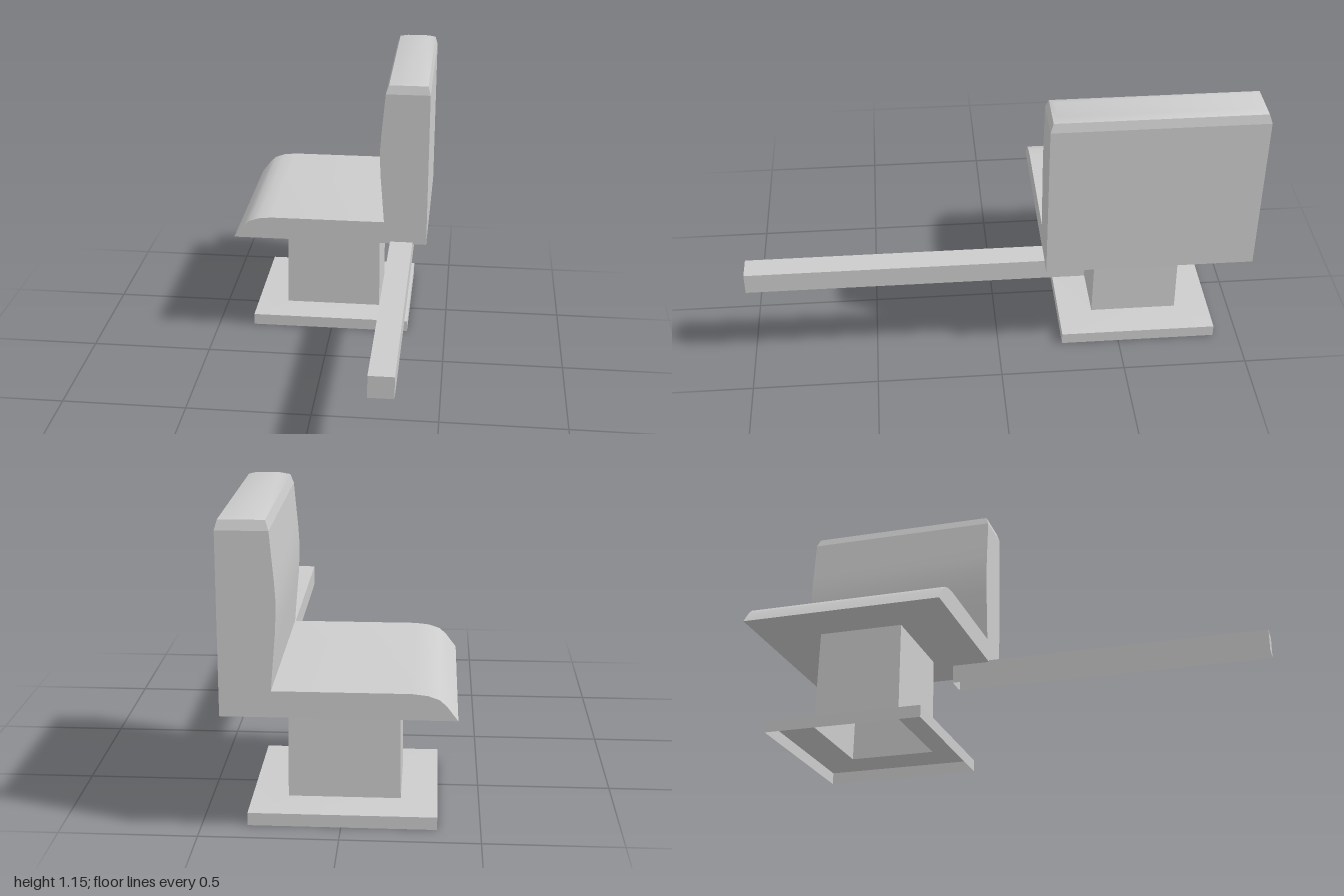
import * as THREE from 'three';
import { toCreasedNormals } from 'three/addons/utils/BufferGeometryUtils.js';

const material = new THREE.MeshStandardMaterial({ color: 0xcccccc, side: THREE.DoubleSide });

function part(name, geometry) {
  const mesh = new THREE.Mesh(toCreasedNormals(geometry, 0.6), material);
  mesh.name = name;
  return mesh;
}

// Shell through rectangular rings [y, x0, x1, z0, z1], listed bottom to top
function rectLoft(rings, capTop) {
  const positions = [];
  const index = [];
  for (const [y, x0, x1, z0, z1] of rings) {
    positions.push(x0, y, z1, x1, y, z1, x1, y, z0, x0, y, z0);
  }
  for (let r = 0; r < rings.length - 1; r++) {
    for (let i = 0; i < 4; i++) {
      const a = r * 4 + i;
      const b = r * 4 + (i + 1) % 4;
      index.push(a, b, b + 4, a, b + 4, a + 4);
    }
  }
  if (capTop) {
    const t = (rings.length - 1) * 4;
    index.push(t, t + 1, t + 2, t, t + 2, t + 3);
  }
  const geometry = new THREE.BufferGeometry();
  geometry.setAttribute('position', new THREE.Float32BufferAttribute(positions, 3));
  geometry.setIndex(index);
  geometry.computeVertexNormals();
  return geometry;
}

export function createModel() {
  const group = new THREE.Group();
  const zBack = -1;
  const zFront = -0.18;

  // Cushion and backrest share one side profile, extruded along the width
  const profile = new THREE.Shape([
    [-0.41, 0.455], [0.41, 0.455], [0.41, 1.11], [0.228, 1.11],
    [0.222, 1.04], [0.213, 0.94], [0.208, 0.86], [0.212, 0.76],
    [0.22, 0.67], [0.23, 0.55], [-0.25, 0.55], [-0.305, 0.544],
    [-0.345, 0.53], [-0.37, 0.508],
  ].map(([x, y]) => new THREE.Vector2(x, y)));
  const seat = new THREE.ExtrudeGeometry(profile, { depth: zFront - zBack, bevelEnabled: false });
  seat.translate(0, 0, zBack);
  group.add(part('seatAndBackrest', seat));

  // Softened top edge of the backrest
  group.add(part('backrestTop', rectLoft([
    [1.11, 0.228, 0.41, zBack, zFront],
    [1.145, 0.24, 0.4, zBack + 0.012, zFront - 0.012],
    [1.155, 0.275, 0.37, zBack + 0.03, zFront - 0.03],
  ], true)));

  // Hollow base plate rising into the pillar, open below
  group.add(part('pedestal', rectLoft([
    [0, -0.345, 0.335, -0.9, -0.265],
    [0.048, -0.345, 0.335, -0.9, -0.265],
    [0.055, -0.211, 0.201, -0.757, -0.404],
    [0.456, -0.207, 0.197, -0.753, -0.408],
  ], false)));

  // Long rail, open along its underside
  group.add(part('rail', rectLoft([
    [0.377, 0.257, 0.352, -0.34, 1],
    [0.463, 0.257, 0.352, -0.34, 1],
  ], true)));

  return group;
}
